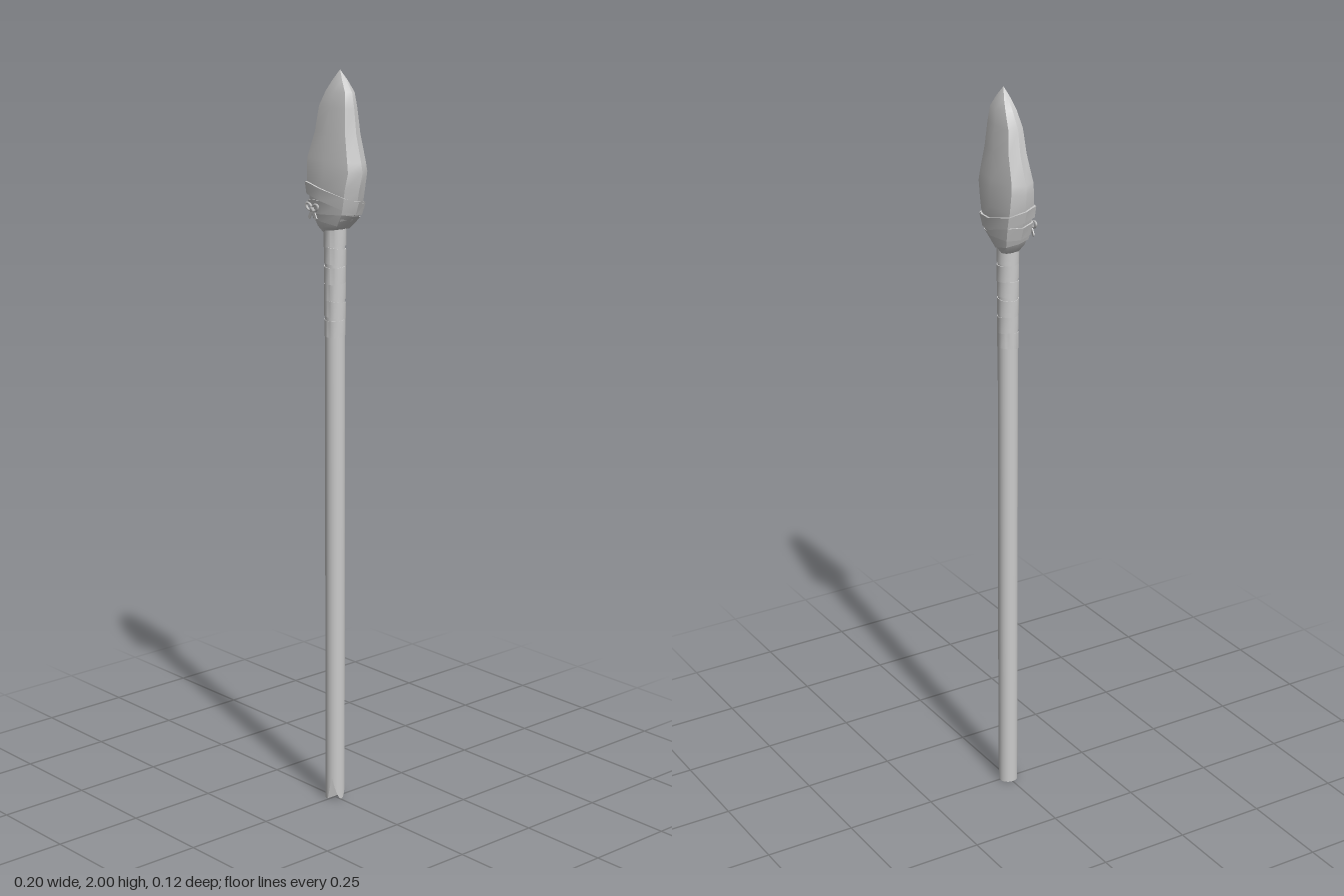
import * as THREE from 'three';
import { toCreasedNormals } from 'three/addons/utils/BufferGeometryUtils.js';
import { ParametricGeometry } from 'three/addons/geometries/ParametricGeometry.js';

const material = new THREE.MeshStandardMaterial({ color: 0xcccccc, side: THREE.DoubleSide });
const SHAFT_R = 0.0265;
const SIDES = 8;

function add(group, name, geometry) {
  const mesh = new THREE.Mesh(geometry, material);
  mesh.name = name;
  group.add(mesh);
  return mesh;
}

// Skin between closed rings of points, listed from bottom to top
function loft(rings, crease) {
  const n = rings[0].length;
  const index = [];
  for (let r = 0; r < rings.length - 1; r++) {
    for (let i = 0; i < n; i++) {
      const j = (i + 1) % n;
      const a = r * n + i, b = r * n + j;
      index.push(a, a + n, b, b, a + n, b + n);
    }
  }
  const geometry = new THREE.BufferGeometry();
  geometry.setAttribute('position', new THREE.Float32BufferAttribute(rings.flat(2), 3));
  geometry.setIndex(index);
  return toCreasedNormals(geometry, crease);
}

// Blade outline: height, left edge x, right edge x, half thickness
const BLADE = [
  [1.575, -0.03, 0.0, 0.025],
  [1.595, -0.05, 0.035, 0.038],
  [1.62, -0.064, 0.064, 0.044],
  [1.66, -0.078, 0.08, 0.049],
  [1.70, -0.09, 0.089, 0.05],
  [1.745, -0.095, 0.101, 0.047],
  [1.77, -0.094, 0.096, 0.045],
  [1.84, -0.066, 0.077, 0.037],
  [1.905, -0.054, 0.069, 0.03],
  [1.945, -0.03, 0.061, 0.023],
  [1.975, -0.006, 0.037, 0.013],
  [2.0, 0.015, 0.015, 0]
];

function bladeAt(y) {
  let i = 0;
  while (i < BLADE.length - 2 && y > BLADE[i + 1][0]) i++;
  const a = BLADE[i], b = BLADE[i + 1];
  const t = THREE.MathUtils.clamp((y - a[0]) / (b[0] - a[0]), 0, 1);
  return a.map((v, k) => v + (b[k] - v) * t);
}

// Point on the flattened, sharp-sided blade section, pushed out by grow
function bladePoint(angle, y, grow) {
  const [, left, right, half] = bladeAt(y);
  const c = Math.cos(angle), s = Math.sin(angle);
  const wide = Math.sign(c) * Math.pow(Math.abs(c), 0.6);
  return [
    (left + right) / 2 + ((right - left) / 2 + grow) * wide,
    y,
    -0.003 + (half + grow) * s
  ];
}

function shaftPoint(angle, y, grow) {
  const r = SHAFT_R + grow;
  return [-0.001 + r * Math.cos(angle), y, r * Math.sin(angle)];
}

function ring(sides, fn) {
  return Array.from({ length: sides }, (_, i) => fn(i / sides * Math.PI * 2));
}

// Tilted strap following a surface: centre height, height, tilt and tilt direction
function strap(surface, sides, y, height, tilt, direction, thickness) {
  const corners = [[-0.5, -0.003], [-0.5, thickness], [0.5, thickness], [0.5, -0.003]];
  return loft(corners.map(([side, grow]) => ring(sides, a =>
    surface(a, y + side * height + tilt * Math.cos(a - direction), grow))), 0.7);
}

// V notch cut through the foot of the shaft
function footHeight(x) {
  return 0.065 * Math.max(0, 1 - Math.abs(x - SHAFT_R / 2) / 0.0137);
}

function createShaft() {
  const group = new THREE.Group();
  group.name = 'shaft';
  const top = 1.61;
  const tube = new THREE.CylinderGeometry(SHAFT_R, SHAFT_R, top, 24, 1, true);
  tube.translate(0, top / 2, 0);
  const p = tube.attributes.position;
  for (let i = 0; i < p.count; i++) {
    if (p.getY(i) < 0.01) p.setY(i, footHeight(p.getX(i)));
  }
  add(group, 'pole', tube);

  const foot = new ParametricGeometry((u, v, target) => {
    const a = (u - 0.5) * Math.PI;
    const x = SHAFT_R * Math.sin(a);
    target.set(x, footHeight(x), SHAFT_R * Math.cos(a) * (2 * v - 1));
  }, 12, 1);
  add(group, 'notchedFoot', toCreasedNormals(foot, 0.5));
  group.position.x = -0.001;
  return group;
}

function createBlade() {
  const rings = BLADE.map(([y]) => ring(SIDES, a => bladePoint(a, y, 0)));
  rings.unshift(ring(SIDES, () => [-0.015, 1.575, -0.003]));
  return loft(rings, 0.75);
}

function createBinding() {
  const group = new THREE.Group();
  group.name = 'binding';
  // Straps around the base of the blade
  const straps = [
    [1.668, 0.032, 0.024, 2.5, 0.006],
    [1.645, 0.036, 0.008, 0.6, 0.005],
    [1.618, 0.034, 0.012, 2.2, 0.004]
  ];
  for (const s of straps) add(group, 'bladeStrap', strap(bladePoint, SIDES, ...s));

  // Lashing down the top of the shaft
  for (let i = 0; i < 6; i++) {
    add(group, 'shaftLashing',
      strap(shaftPoint, 16, 1.565 - i * 0.047, 0.044, 0.004, i * 2.1, 0.003 - i * 0.0003));
  }
  return group;
}

function createKnot() {
  const group = new THREE.Group();
  group.name = 'knot';
  // Two flattened loops
  for (const side of [-1, 1]) {
    const loop = add(group, 'knotLoop', new THREE.TorusGeometry(0.011, 0.004, 6, 12));
    loop.scale.set(1.3, 0.75, 0.8);
    loop.position.set(side * 0.014, 0.004, 0);
    loop.rotation.z = side * 0.35;
  }
  // Loose strap ends
  for (const side of [-1, 1]) {
    const end = add(group, 'knotEnd', new THREE.BoxGeometry(0.009, 0.03, 0.003));
    end.position.set(side * 0.009, -0.014, -0.002);
    end.rotation.z = side * 0.6;
  }
  const centre = add(group, 'knotCentre', new THREE.SphereGeometry(0.007, 8, 6));
  centre.scale.z = 0.7;
  group.position.set(-0.032, 1.643, 0.052);
  group.rotation.y = -0.15;
  return group;
}

export function createModel() {
  const model = new THREE.Group();
  model.name = 'spear';
  model.add(createShaft());
  add(model, 'stoneBlade', createBlade());
  model.add(createBinding(), createKnot());
  return model;
}
